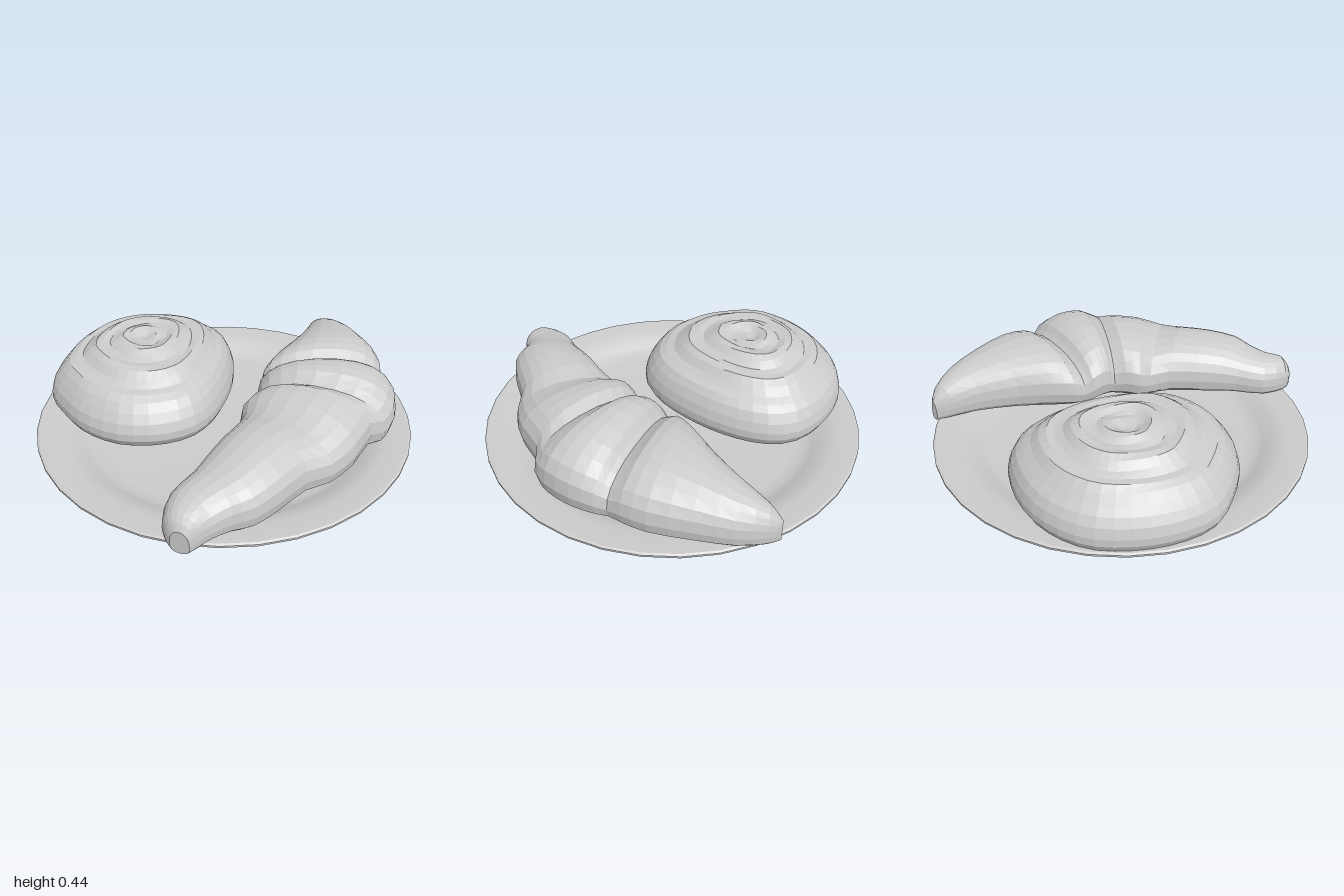
import * as THREE from 'three';
import { toCreasedNormals } from 'three/addons/utils/BufferGeometryUtils.js';

const grey = new THREE.MeshStandardMaterial({ color: 0xcccccc });
const greyFlat = new THREE.MeshStandardMaterial({ color: 0xcccccc, flatShading: true });

// Skin a list of closed rings, each an array of [x, y, z]
function skin(rings) {
  const n = rings[0].length, index = [];
  for (let i = 0; i < rings.length - 1; i++) {
    for (let j = 0; j < n; j++) {
      const a = i * n + j, b = i * n + (j + 1) % n, c = b + n, d = a + n;
      index.push(a, d, b, b, d, c);
    }
  }
  const g = new THREE.BufferGeometry();
  g.setAttribute('position', new THREE.Float32BufferAttribute(rings.flat(2), 3));
  g.setIndex(index);
  g.computeVertexNormals();
  return g;
}

function named(name, geometry, material) {
  const mesh = new THREE.Mesh(geometry, material);
  mesh.name = name;
  return mesh;
}

// Shallow plate with a sloped foot and a wide thin rim
function plate() {
  const profile = [
    [0, 0.005], [0.69, 0.005], [0.71, 0.012], [0.8, 0.078], [0.98, 0.078], [0.99, 0.084], [0.99, 0.094],
    [0.98, 0.1], [0.87, 0.097], [0.81, 0.083], [0.76, 0.052], [0.72, 0.035], [0.66, 0.03], [0, 0.03],
  ].map(([r, y]) => new THREE.Vector2(r, y));
  const mesh = named('plate', toCreasedNormals(new THREE.LatheGeometry(profile, 36), 0.5), grey);
  mesh.position.z = -0.008;
  return mesh;
}

// Round bun: an irregular outline scaled by a dome profile, with a spiral fold on top
function spiralBun() {
  const cx = -0.38, cz = -0.33, sides = 40;
  const outline = new THREE.CatmullRomCurve3([
    [0.12, -0.47], [0.09, -0.25], [0, -0.02], [-0.09, 0.12], [-0.2, 0.21], [-0.38, 0.25], [-0.58, 0.21],
    [-0.75, 0.08], [-0.85, -0.08], [-0.91, -0.24], [-0.88, -0.42], [-0.78, -0.61], [-0.62, -0.77],
    [-0.4, -0.84], [-0.2, -0.82], [0, -0.73], [0.09, -0.62],
  ].map(([x, z]) => new THREE.Vector3(x, 0, z)), true);
  const edge = outline.getSpacedPoints(sides).slice(0, sides);
  const profile = [
    [0, 0.08], [0.88, 0.08], [0.96, 0.1], [1, 0.14], [1, 0.18], [0.97, 0.23], [0.92, 0.275], [0.86, 0.31],
    [0.79, 0.338], [0.72, 0.36], [0.65, 0.378], [0.58, 0.394], [0.51, 0.407], [0.44, 0.419], [0.37, 0.428],
    [0.3, 0.434], [0.23, 0.436], [0.17, 0.434], [0.11, 0.428], [0.05, 0.42], [0, 0.415],
  ];
  const rings = profile.map(([f, y], i) => edge.map((p) => {
    const angle = Math.atan2(p.z - cz, p.x - cx);
    const onTop = i > 5 ? Math.min(1, f * 6) * Math.min(1, (1 - f) * 4) : 0;
    const fold = 0.013 * onTop * Math.sin(f * 22 + angle);
    return [cx + (p.x - cx) * f, y + fold, cz + (p.z - cz) * f];
  }));
  return named('spiralBun', skin(rings), greyFlat);
}

// Curved croissant: cross-sections between an inner and an outer edge, pinched at the folds
function croissant() {
  // inner x, inner z, outer x, outer z, top height
  const stations = [
    [0.67, -0.735, 0.71, -0.74, 0.2], [0.62, -0.66, 0.77, -0.69, 0.27], [0.55, -0.53, 0.84, -0.56, 0.33],
    [0.43, -0.36, 0.88, -0.38, 0.38], [0.3, -0.22, 0.905, -0.18, 0.41], [0.23, -0.13, 0.885, -0.05, 0.4],
    [0.215, -0.07, 0.86, 0.02, 0.355], [0.19, -0.03, 0.875, 0.08, 0.41], [0.18, 0.02, 0.87, 0.2, 0.445],
    [0.175, 0.07, 0.82, 0.34, 0.44], [0.17, 0.1, 0.74, 0.43, 0.39], [0.12, 0.14, 0.66, 0.46, 0.42],
    [0.06, 0.19, 0.54, 0.6, 0.405], [0.045, 0.25, 0.4, 0.7, 0.365], [0, 0.35, 0.27, 0.74, 0.38],
    [-0.1, 0.46, 0.14, 0.835, 0.375], [-0.19, 0.57, 0, 0.92, 0.35], [-0.25, 0.64, -0.1, 0.93, 0.32],
    [-0.36, 0.74, -0.19, 0.955, 0.29], [-0.405, 0.88, -0.25, 0.985, 0.27], [-0.38, 0.955, -0.3, 1, 0.21],
  ];
  const inner = new THREE.CatmullRomCurve3(
    stations.map((s) => new THREE.Vector3(s[0], s[4], s[1])), false, 'catmullrom');
  const outer = new THREE.CatmullRomCurve3(
    stations.map((s) => new THREE.Vector3(s[2], s[4], s[3])), false, 'catmullrom');
  const steps = (stations.length - 1) * 2, sides = 22, base = 0.09;
  const soft = (v, power) => Math.sign(v) * Math.abs(v) ** power;
  const rings = [];
  for (let i = 0; i <= steps; i++) {
    const a = inner.getPoint(i / steps), b = outer.getPoint(i / steps);
    const mid = base + 0.38 * (a.y - base), ring = [];
    for (let j = 0; j < sides; j++) {
      const t = (j / sides) * Math.PI * 2;
      const across = 0.5 - 0.5 * soft(Math.cos(t), 0.9), up = Math.sin(t);
      const y = up > 0 ? mid + (a.y - mid) * soft(up, 0.85) : mid + (mid - base) * soft(up, 0.6);
      ring.push([a.x + (b.x - a.x) * across, y, a.z + (b.z - a.z) * across]);
    }
    rings.push(ring);
  }
  // Close both tips to a point
  const tip = (ring) => {
    const centre = [0, 1, 2].map((k) => ring.reduce((sum, p) => sum + p[k], 0) / sides);
    return ring.map(() => centre);
  };
  rings.unshift(tip(rings[0]));
  rings.push(tip(rings[rings.length - 1]));
  return named('croissant', skin(rings), greyFlat);
}

export function createModel() {
  const group = new THREE.Group();
  group.name = 'pastryPlate';
  group.add(plate(), spiralBun(), croissant());
  return group;
}
